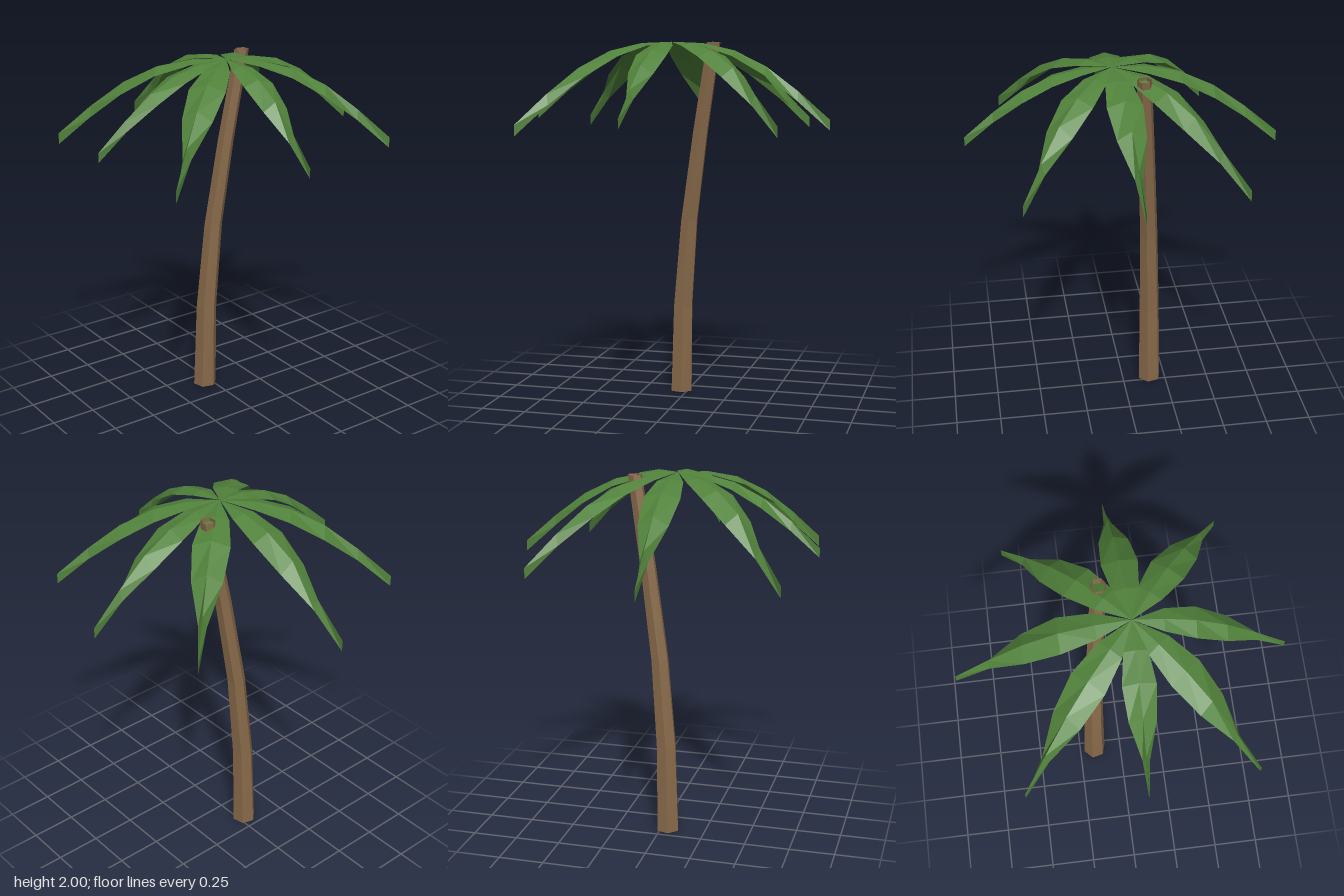
import * as THREE from 'three';

const leafGreen = new THREE.MeshStandardMaterial({ color: 0x51823b, flatShading: true, side: THREE.DoubleSide });
leafGreen.name = 'leafGreen';
const barkBrown = new THREE.MeshStandardMaterial({ color: 0x886a4a, flatShading: true, side: THREE.DoubleSide });
barkBrown.name = 'barkBrown';

// Skin a surface over rows of points that all have the same count
function skin(rows) {
  const n = rows[0].length;
  const index = [];
  for (let i = 0; i < rows.length - 1; i++) {
    for (let j = 0; j < n - 1; j++) {
      const a = i * n + j, b = a + n;
      index.push(a, b, a + 1, a + 1, b, b + 1);
    }
  }
  const geometry = new THREE.BufferGeometry();
  geometry.setAttribute('position', new THREE.Float32BufferAttribute(rows.flat(2), 3));
  geometry.setIndex(index);
  const flat = geometry.toNonIndexed();
  flat.computeVertexNormals();
  return flat;
}

// Open six-sided trunk, bending backwards: [x, y, z, radius]
function trunkGeometry() {
  const stations = [
    [-0.16, 0, 0.038, 0.067],
    [-0.154, 0.5, 0.027, 0.059],
    [-0.14, 1, -0.013, 0.051],
    [-0.114, 1.5, -0.083, 0.045],
    [-0.083, 2, -0.165, 0.04],
  ];
  return skin(stations.map(([x, y, z, r], i) => {
    const turn = THREE.MathUtils.degToRad(-14 + i * 2.5);
    return Array.from({ length: 7 }, (_, k) => {
      const a = turn + (k % 6) * Math.PI / 3;
      return [x + r * Math.cos(a), y, z + r * Math.sin(a)];
    });
  }));
}

// Drooping leaf of unit length along +x, folded along its midrib:
// [distance, midrib drop, half width, fold depth]
function leafGeometry() {
  const stations = [
    [0, 0, 0, 0],
    [0.2, 0.008, 0.078, 0.016],
    [0.4, 0.053, 0.108, 0.034],
    [0.6, 0.152, 0.088, 0.053],
    [0.8, 0.303, 0.024, 0.063],
    [1, 0.478, 0, 0.066],
  ];
  return skin(stations.map(([x, drop, w, fold]) => [
    [x, -drop - fold, w],
    [x, -drop, 0],
    [x, -drop - fold, -w],
  ]));
}

export function createModel() {
  const model = new THREE.Group();
  model.name = 'palmTree';

  const trunk = new THREE.Mesh(trunkGeometry(), barkBrown);
  trunk.name = 'trunk';
  model.add(trunk);

  // Eight leaves from one point, each given by the x and z of its tip
  const crown = new THREE.Group();
  crown.name = 'crown';
  crown.position.set(0.057, 2, 0.037);
  const tips = [
    [0.011, -0.827], [0.592, -0.65], [0.843, 0.096], [0.624, 0.731],
    [0.048, 0.818], [-0.56, 0.718], [-0.853, 0.055], [-0.555, -0.626],
  ];
  const geometry = leafGeometry();
  tips.forEach(([x, z], i) => {
    const dx = x - crown.position.x, dz = z - crown.position.z;
    const leaf = new THREE.Mesh(geometry, leafGreen);
    leaf.name = 'leaf' + (i + 1);
    leaf.rotation.y = Math.atan2(-dz, dx);
    leaf.scale.setScalar(Math.hypot(dx, dz));
    crown.add(leaf);
  });
  model.add(crown);

  return model;
}
